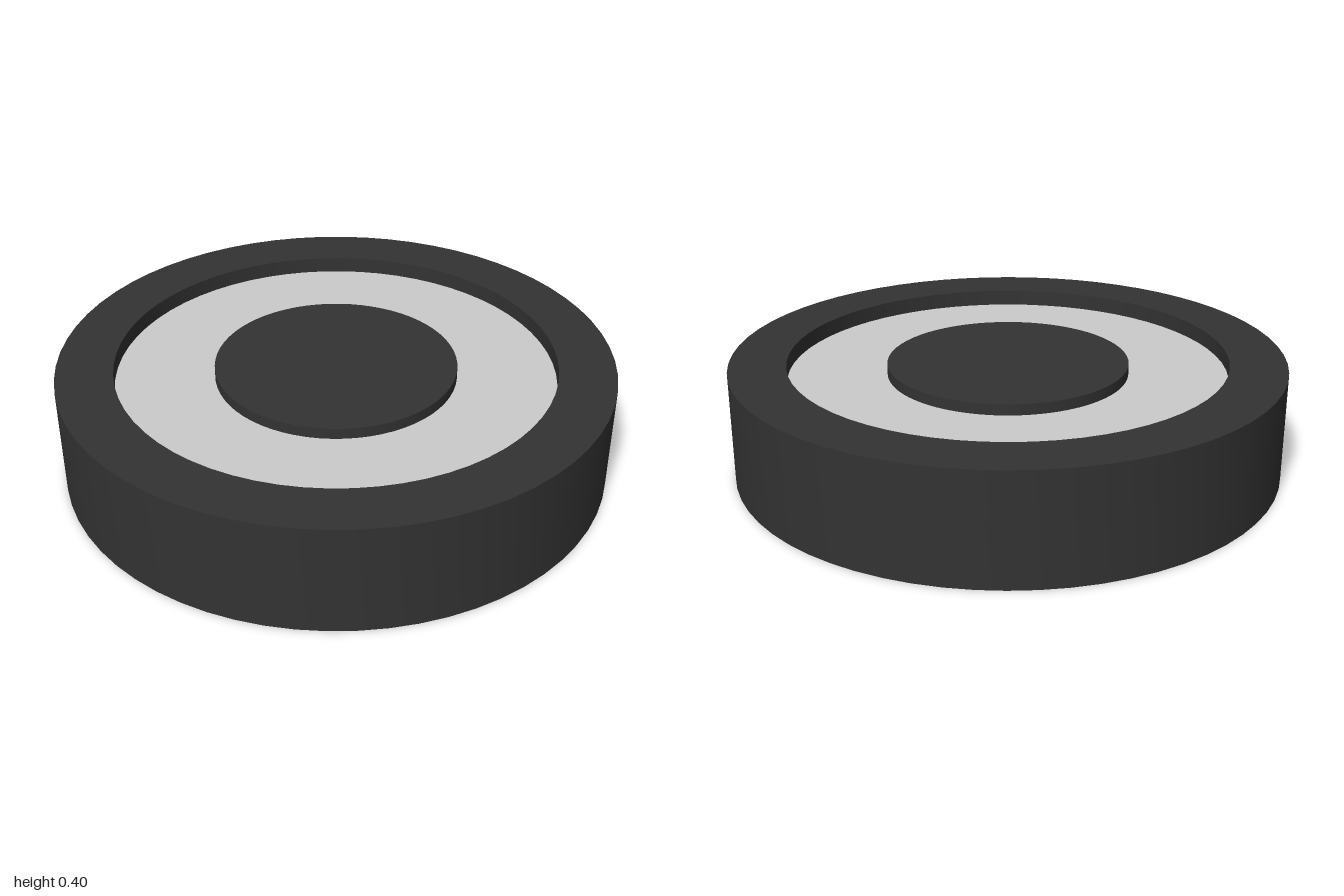
import * as THREE from 'three';
import { toCreasedNormals } from 'three/addons/utils/BufferGeometryUtils.js';

const SEGMENTS = 64;

export function createModel() {
  const group = new THREE.Group();
  const dark = new THREE.MeshStandardMaterial({ color: 0x333333 });
  const grey = new THREE.MeshStandardMaterial({ color: 0xcccccc });

  const add = (name, geometry, material, y = 0) => {
    const mesh = new THREE.Mesh(geometry, material);
    mesh.name = name;
    mesh.position.y = y;
    group.add(mesh);
  };

  // Shallow round housing with a raised rim, revolved from its profile
  const profile = [[0, 0], [1, 0], [1, 0.4], [0.795, 0.4], [0.795, 0.3], [0, 0.3]]
    .map(([r, y]) => new THREE.Vector2(r, y));
  add('housing', toCreasedNormals(new THREE.LatheGeometry(profile, SEGMENTS), 0.5), dark);

  // Light plate lying in the recess
  add('recessPlate', new THREE.CylinderGeometry(0.795, 0.795, 0.04, SEGMENTS), grey, 0.32);

  // Dark button in the middle, just below the rim
  add('centreButton', new THREE.CylinderGeometry(0.437, 0.437, 0.08, SEGMENTS), dark, 0.34);

  return group;
}
